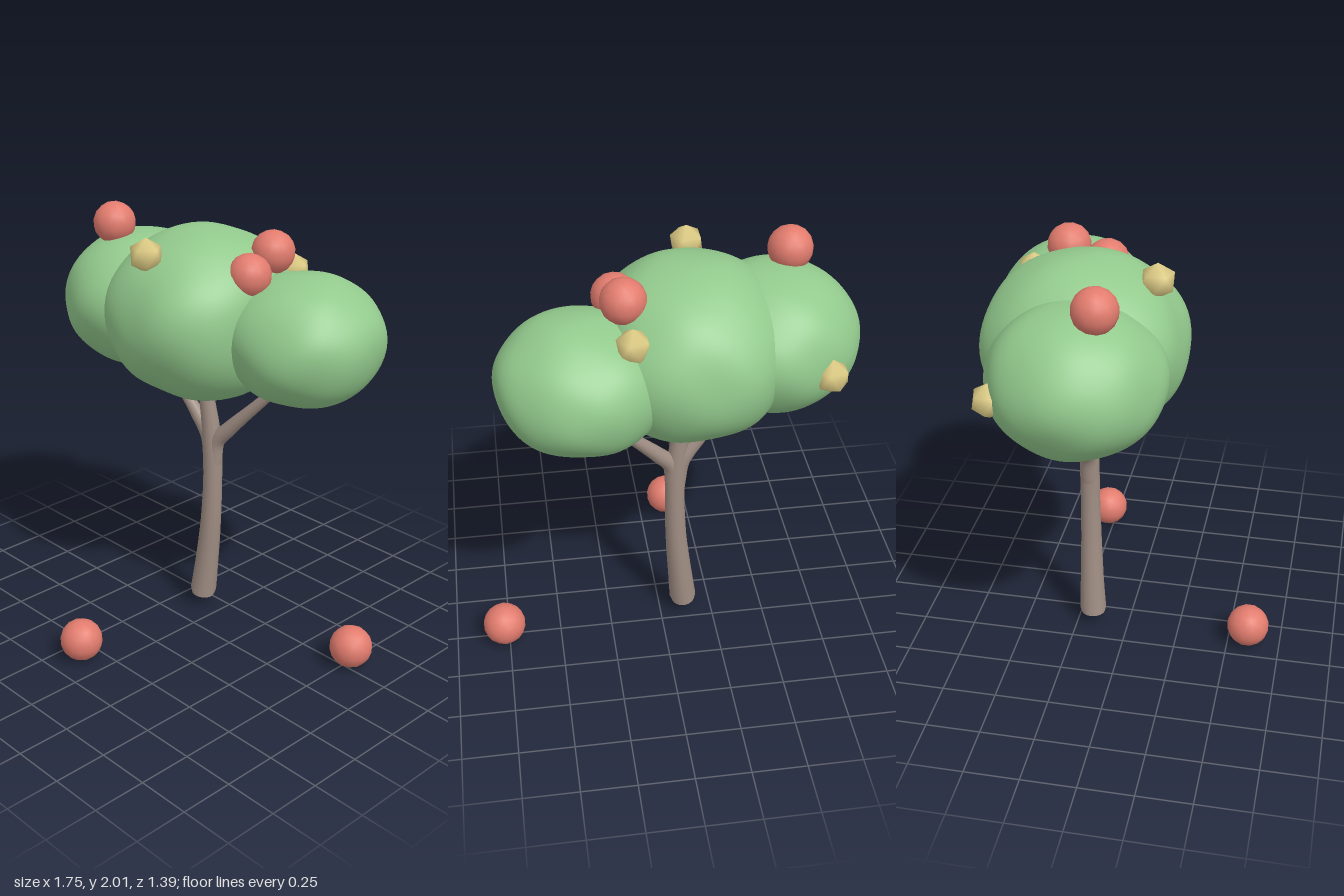
import * as THREE from 'three';
import { mergeVertices } from 'three/addons/utils/BufferGeometryUtils.js';

const leafMat = new THREE.MeshStandardMaterial({ color: 0x93ca8d });
const barkMat = new THREE.MeshStandardMaterial({ color: 0xa08e84 });
const fruitMat = new THREE.MeshStandardMaterial({ color: 0xe27c6e });
const budMat = new THREE.MeshStandardMaterial({ color: 0xe0ce86 });
leafMat.name = 'leafGreen';
barkMat.name = 'barkBrown';
fruitMat.name = 'fruitRed';
budMat.name = 'budYellow';

// Smooth-shaded ball of triangles with a corner pointing up
function smoothBall(radius, detail) {
  let geo = new THREE.IcosahedronGeometry(radius, detail);
  geo.deleteAttribute('normal');
  geo.deleteAttribute('uv');
  geo = mergeVertices(geo, 1e-4);
  geo.rotateX(-1.017);
  geo.computeVertexNormals();
  return geo;
}

// Soft lumpy ellipsoid: round about the x axis, fuller towards its ends by power p
function leafClump(name, center, radii, p, phase) {
  const geo = smoothBall(1, 14);
  const pos = geo.attributes.position;
  const v = new THREE.Vector3();
  for (let i = 0; i < pos.count; i++) {
    v.fromBufferAttribute(pos, i).normalize();
    const full = Math.pow(Math.abs(v.x) ** p + Math.hypot(v.y, v.z) ** p, -1 / p);
    const bump = 0.012 * Math.sin(5 * v.x + phase) * Math.sin(5 * v.y + 2 * phase)
      + 0.012 * Math.sin(6 * v.z + 3 * phase) * Math.cos(6 * v.x - 4 * v.y + phase);
    v.multiplyScalar(full + bump);
    pos.setXYZ(i, v.x * radii[0], v.y * radii[1], v.z * radii[2]);
  }
  geo.computeVertexNormals();
  const mesh = new THREE.Mesh(geo, leafMat);
  mesh.name = name;
  mesh.position.set(...center);
  return mesh;
}

// Tapered tube; radii are spread evenly along the path
function limb(name, points, radii, roundStart = false) {
  const curve = new THREE.CatmullRomCurve3(points.map((q) => new THREE.Vector3(...q)));
  const segs = 48, sides = 16;
  const geo = new THREE.TubeGeometry(curve, segs, 1, sides);
  const pos = geo.attributes.position;
  const v = new THREE.Vector3();
  for (let i = 0; i <= segs; i++) {
    const t = i / segs;
    const c = curve.getPointAt(t);
    const f = t * (radii.length - 1);
    const k = Math.min(Math.floor(f), radii.length - 2);
    let r = THREE.MathUtils.lerp(radii[k], radii[k + 1], f - k);
    if (roundStart) r *= Math.sqrt(1 - Math.max(0, 1 - i / 2) ** 2);
    for (let j = 0; j <= sides; j++) {
      const n = i * (sides + 1) + j;
      v.fromBufferAttribute(pos, n).sub(c).multiplyScalar(r).add(c);
      pos.setXYZ(n, v.x, v.y, v.z);
    }
  }
  const mesh = new THREE.Mesh(geo, barkMat);
  mesh.name = name;
  return mesh;
}

export function createModel() {
  const tree = new THREE.Group();
  tree.name = 'fruitTree';

  // Bent trunk, continuing up into the middle of the crown
  tree.add(limb('trunk', [
    [-0.118, 0.03, -0.172], [-0.1, 0.2, -0.18], [-0.073, 0.5, -0.187],
    [-0.067, 0.8, -0.19], [-0.08, 0.98, -0.187], [-0.105, 1.16, -0.18], [-0.12, 1.35, -0.18],
  ], [0.066, 0.057, 0.05, 0.046, 0.047, 0.036, 0.03], true));

  // Side branches, peeling out of the trunk
  tree.add(limb('rightBranch', [
    [-0.075, 0.8, -0.19], [-0.098, 0.93, -0.19], [-0.17, 1.03, -0.18],
    [-0.33, 1.21, -0.165], [-0.43, 1.35, -0.16],
  ], [0.04, 0.038, 0.028, 0.021, 0.018]));
  tree.add(limb('leftBranch', [
    [-0.06, 0.8, -0.19], [-0.045, 0.91, -0.195], [0.02, 0.99, -0.215],
    [0.22, 1.21, -0.285], [0.33, 1.35, -0.33],
  ], [0.04, 0.038, 0.029, 0.023, 0.019]));

  // Crown
  tree.add(leafClump('rightLeaves', [-0.48, 1.545, -0.145], [0.39, 0.325, 0.385], 2.05, 0.6));
  tree.add(leafClump('middleLeaves', [-0.125, 1.545, -0.185], [0.4, 0.395, 0.455], 2.5, 1.9));
  tree.add(leafClump('leftLeaves', [0.36, 1.5, -0.335], [0.37, 0.3, 0.36], 2.1, 3.1));

  // Red fruit on the crown and on the ground
  const fruitGeo = smoothBall(0.1, 2);
  [[-0.58, 1.905, -0.04], [0.175, 1.865, -0.32], [0.195, 1.795, -0.15],
    [-0.14, 0.1, 0.595], [0.77, 0.1, -0.28]].forEach((p, i) => {
    const fruit = new THREE.Mesh(fruitGeo, fruitMat);
    fruit.name = (i < 3 ? 'crownFruit' : 'fallenFruit') + (i + 1);
    fruit.position.set(...p);
    tree.add(fruit);
  });

  // Small yellow buds
  const budGeo = smoothBall(0.08, 0);
  [[-0.157, 1.87, 0.14], [0.155, 1.745, -0.48], [-0.685, 1.515, -0.465]].forEach((p, i) => {
    const bud = new THREE.Mesh(budGeo, budMat);
    bud.name = 'bud' + (i + 1);
    bud.position.set(...p);
    bud.rotation.y = 0.3;
    tree.add(bud);
  });

  return tree;
}
